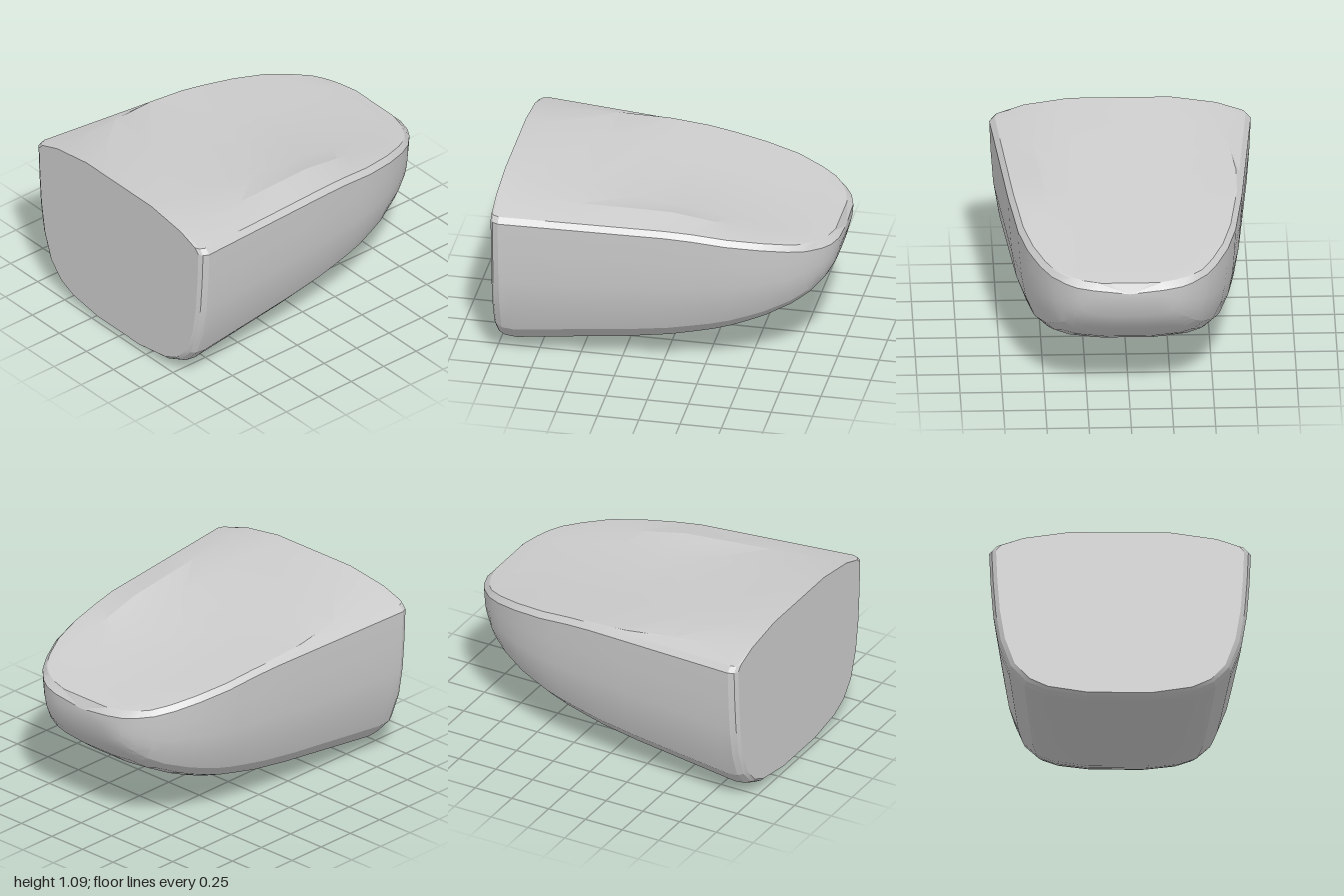
import * as THREE from 'three';
import { toCreasedNormals } from 'three/addons/utils/BufferGeometryUtils.js';

// Piecewise-linear curve through [x, value] keys.
const curve = (keys) => (x) => {
  let i = 0;
  while (i < keys.length - 2 && x > keys[i + 1][0]) i++;
  const [a, b] = [keys[i], keys[i + 1]];
  return THREE.MathUtils.lerp(a[1], b[1], THREE.MathUtils.clamp((x - a[0]) / (b[0] - a[0]), 0, 1));
};

// Lengthwise lines of the hull
const keel = curve([[-1, 0.045], [-0.97, 0.02], [-0.88, 0.005], [-0.1, 0.085], [0.1, 0.12], [0.3, 0.17],
  [0.45, 0.22], [0.6, 0.285], [0.75, 0.365], [0.85, 0.44], [0.93, 0.53], [0.97, 0.6], [1, 0.71]]);
const halfWidth = curve([[-1, 0.735], [-0.985, 0.76], [-0.95, 0.775], [0.05, 0.692], [0.4, 0.645], [0.6, 0.593],
  [0.75, 0.525], [0.85, 0.46], [0.93, 0.375], [0.97, 0.31], [1, 0.21]]);
const rim = curve([[-1, 0.97], [0.1, 0.932], [0.6, 0.86], [0.85, 0.81], [1, 0.785]]);

// Lengthwise lines of the deck
const crown = curve([[-1, 1.09], [1, 0.82]]);
const ridgeZ = curve([[-1, 0.57], [0.04, 0.48], [0.78, 0.42]]);
const ridgeY = curve([[-1, 1.05], [0.04, 1.0], [0.78, 0.86], [1, 0.82]]);
const creaseZ = curve([[-1, 0.57], [-0.2, 0.665], [1, 0.665]]);
const creaseY = curve([[-1, 1.05], [-0.2, 0.99], [0.1, 0.965], [0.78, 0.855], [1, 0.82]]);

// Half section: [fraction of half width, fraction of height from keel to rim]
const section = [[1, 1], [0.99, 0.8], [0.97, 0.58], [0.93, 0.38], [0.85, 0.2], [0.73, 0.095], [0.58, 0.04], [0.26, 0]];

const stations = [-1, -0.985, -0.95, -0.88, -0.5, -0.2, 0.04, 0.2, 0.3, 0.4, 0.5, 0.6, 0.68, 0.75, 0.8, 0.85, 0.89, 0.93, 0.97, 1];

// One closed cross-section: left rim, down round the keel, up the other side, back over the deck
function ring(x) {
  const w = halfWidth(x), k = keel(x), r = rim(x);
  const hull = section.map(([u, v]) => [x, k + v * (r - k), u * w]);
  const other = hull.map(([px, y, z]) => [px, y, -z]).reverse();
  const dx = x - 0.03 * THREE.MathUtils.smoothstep(x, 0.85, 1);
  const lipZ = w - 0.03, lipY = r + 0.033;
  const flat = Math.min(0.3, lipZ * 0.65);
  const rz = Math.min(ridgeZ(x), lipZ - 0.01), cz = Math.min(creaseZ(x), lipZ - 0.01);
  const deck = [
    [dx, lipY, -lipZ], [dx, Math.max(creaseY(x), lipY), -cz], [dx, crown(x), -flat],
    [dx, crown(x), flat], [dx, Math.max(ridgeY(x), lipY), rz], [dx, lipY, lipZ],
  ];
  return [...hull, ...other, ...deck];
}

function hullGeometry() {
  const rings = stations.map(ring), n = rings[0].length, pos = [];
  const tri = (...pts) => pts.forEach((p) => pos.push(...p));
  for (let i = 0; i < rings.length - 1; i++) {
    for (let j = 0; j < n; j++) {
      const a = rings[i], b = rings[i + 1], m = (j + 1) % n;
      tri(a[j], a[m], b[j]);
      tri(a[m], b[m], b[j]);
    }
  }
  // Flat stern and blunt bow
  const first = rings[0], last = rings[rings.length - 1];
  for (let j = 0; j < n; j++) {
    const m = (j + 1) % n;
    tri([-1, 0.55, 0], first[m], first[j]);
    tri([1, 0.76, 0], last[j], last[m]);
  }
  const geometry = new THREE.BufferGeometry();
  geometry.setAttribute('position', new THREE.Float32BufferAttribute(pos, 3));
  return toCreasedNormals(geometry, 0.3);
}

export function createModel() {
  const group = new THREE.Group();
  group.name = 'boatHull';
  const hull = new THREE.Mesh(hullGeometry(), new THREE.MeshStandardMaterial({ color: 0xcccccc }));
  hull.name = 'hull';
  group.add(hull);
  return group;
}
